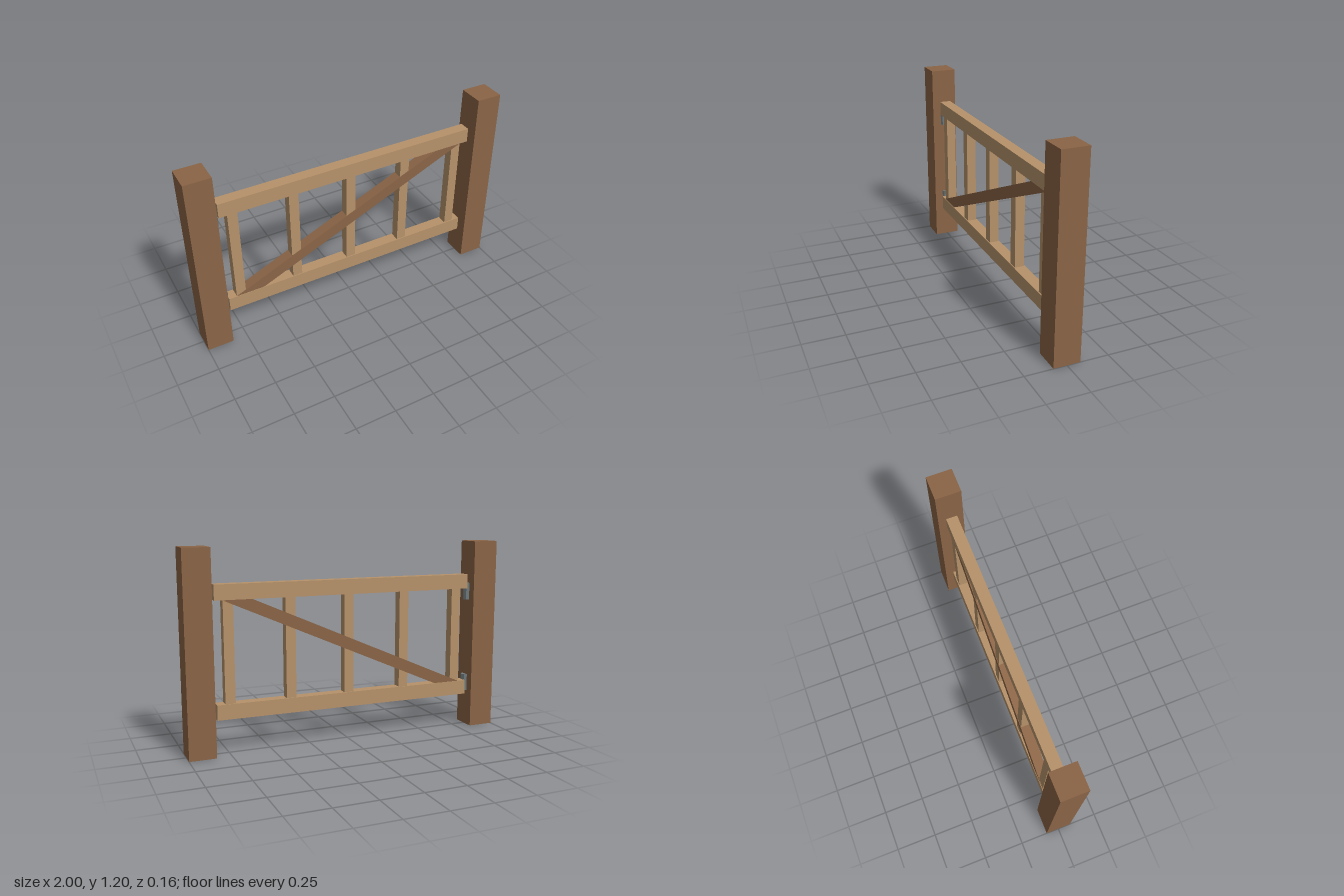
import * as THREE from 'three';

const make = (name, color) => {
  const m = new THREE.MeshStandardMaterial({ color });
  m.name = name;
  return m;
};

export function createModel() {
  const gate = new THREE.Group();
  gate.name = 'gate';
  const darkWood = make('darkWood', 0x8a6446);
  const lightWood = make('lightWood', 0xb6926a);
  const metal = make('metal', 0x727d80);
  metal.flatShading = true;

  const add = (name, geometry, material, x, y, parent = gate) => {
    const mesh = new THREE.Mesh(geometry, material);
    mesh.name = name;
    mesh.position.set(x, y, 0);
    parent.add(mesh);
    return mesh;
  };

  // Square posts on either side
  const post = new THREE.BoxGeometry(0.16, 1.2, 0.16);
  add('rightPost', post, darkWood, -0.92, 0.6);
  add('leftPost', post, darkWood, 0.92, 0.6);

  // Swinging leaf: two rails, five uprights and a diagonal brace
  const leaf = new THREE.Group();
  leaf.name = 'leaf';
  gate.add(leaf);
  const rail = new THREE.BoxGeometry(1.64, 0.09, 0.07);
  add('bottomRail', rail, lightWood, 0, 0.253, leaf);
  add('topRail', rail, lightWood, 0, 0.945, leaf);

  const upright = new THREE.BoxGeometry(0.06, 0.62, 0.058);
  for (let i = -2; i <= 2; i++) add('upright', upright, lightWood, i * 0.37, 0.599, leaf);

  const brace = add('brace', new THREE.BoxGeometry(1.66, 0.07, 0.064), darkWood, 0, 0.598, leaf);
  brace.rotation.z = 0.415;

  // Eight-sided hinge barrels, partly set into the post
  const barrel = new THREE.CylinderGeometry(0.028, 0.028, 0.108, 8);
  add('lowerHinge', barrel, metal, -0.842, 0.28);
  add('upperHinge', barrel, metal, -0.842, 0.88);

  return gate;
}
